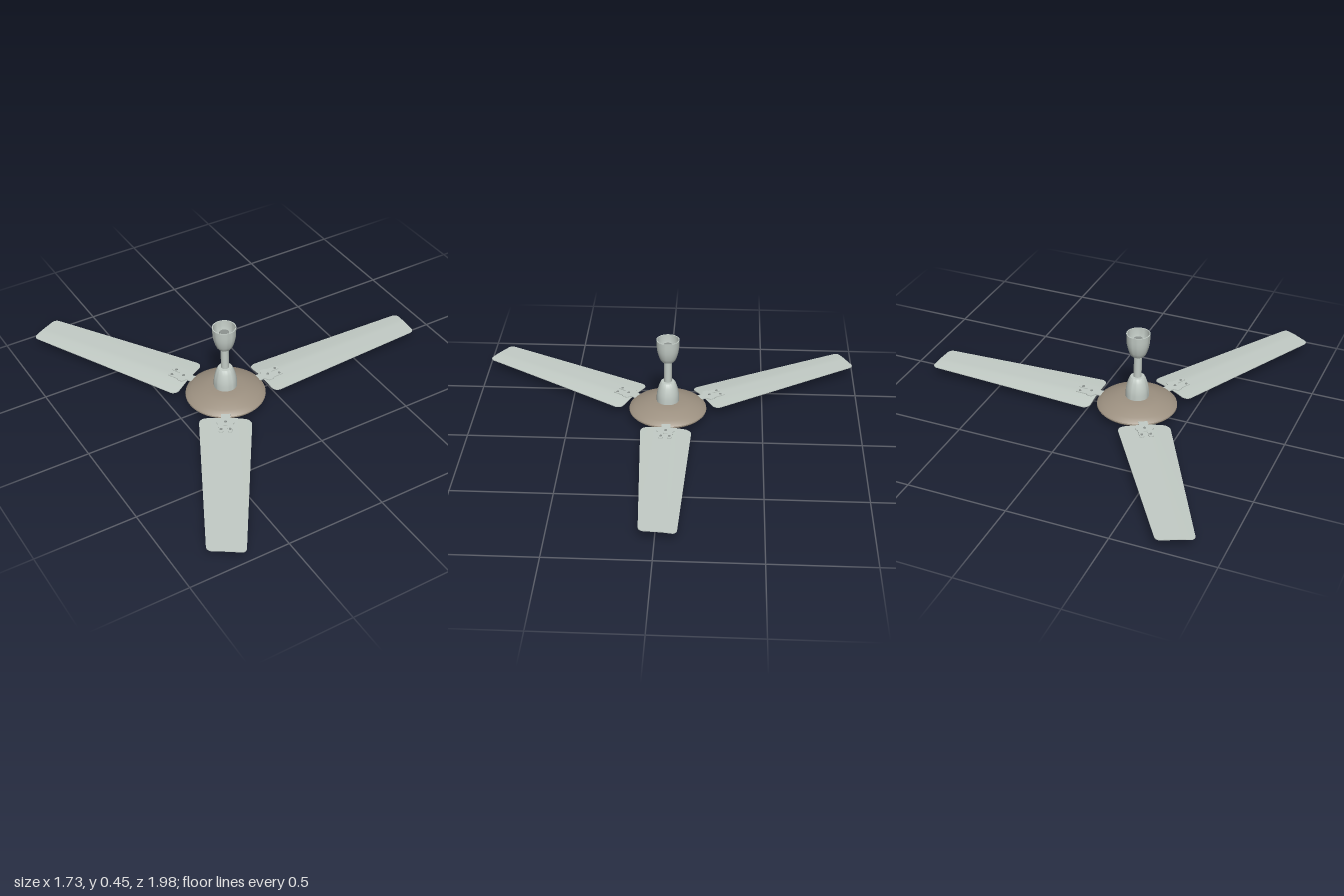
import * as THREE from 'three';
import { toCreasedNormals } from 'three/addons/utils/BufferGeometryUtils.js';

const mat = (color) => new THREE.MeshStandardMaterial({ color, side: THREE.DoubleSide });
const pale = mat(0xc3ccc6), taupe = mat(0x9d9181), dark = mat(0x3a3835), gold = mat(0xc59a3a), steel = mat(0x8d9390);

function add(parent, name, geometry, material, x = 0, y = 0, z = 0) {
  const mesh = new THREE.Mesh(geometry, material);
  mesh.name = name;
  mesh.position.set(x, y, z);
  parent.add(mesh);
  return mesh;
}

// Surface of revolution from [radius, height] pairs, listed bottom to top on the outside
function lathe(points, segments = 48) {
  const g = new THREE.LatheGeometry(points.map(([r, y]) => new THREE.Vector2(r, y)), segments);
  return toCreasedNormals(g, 0.6);
}

// Tapered blade: flat trailing part, leading edge (-z) curving down, rounded corners
const ROOT = 0.21, TIP = 1.108;
function bladeHeight(x, z) {
  const t = (x - ROOT) / (TIP - ROOT);
  const lead = Math.max(0, -z - 0.02) / 0.11;
  const trail = Math.max(0, z - 0.06) / 0.07;
  return 0.058 - (0.015 - 0.006 * t) * Math.pow(lead, 1.2) - 0.003 * trail * (1 - t);
}
function bladeGeometry() {
  const g = new THREE.BoxGeometry(1, 1, 1, 40, 1, 14);
  const p = g.attributes.position;
  for (let i = 0; i < p.count; i++) {
    const u = 0.5 - 0.5 * Math.cos(Math.PI * (p.getX(i) + 0.5));
    const v = p.getZ(i) + 0.5;
    const x = ROOT + (TIP - ROOT) * u;
    const r = u < 0.5 ? 0.035 : 0.024;
    const d = Math.min(r, Math.min(x - ROOT, TIP - x));
    const cut = r - Math.sqrt(Math.max(0, r * r - (r - d) ** 2));
    const z0 = -0.13 + 0.038 * u + cut, z1 = 0.13 - 0.046 * u - cut;
    const z = z0 + (z1 - z0) * v;
    // the tip is cut slightly askew
    p.setXYZ(i, x - 0.06 * u * u * (z + 0.09) * (u > 0.5 ? 1 : 0.5), bladeHeight(x, z) + p.getY(i) * 0.004, z);
  }
  return toCreasedNormals(g, 0.5);
}

// Bracket plate with a neck, a flared shoulder and two prongs
function bracketGeometry() {
  const half = [[0.15, 0.024], [0.215, 0.022], [0.228, 0.045], [0.25, 0.045], [0.262, 0.036],
    [0.315, 0.034], [0.32, 0.028], [0.32, 0.016], [0.315, 0.011], [0.27, 0.01]];
  const outline = [...half, ...half.map(([x, z]) => [x, -z]).reverse()];
  const shape = new THREE.Shape(outline.map(([x, z]) => new THREE.Vector2(x, z)));
  const g = new THREE.ExtrudeGeometry(shape, { depth: 0.005, bevelEnabled: false });
  return g.rotateX(-Math.PI / 2);
}

export function createModel() {
  const fan = new THREE.Group();
  fan.name = 'ceilingFan';
  const body = new THREE.Group();
  body.name = 'fanBody';
  body.position.set(-0.24, 0, -0.01);
  fan.add(body);

  // Motor housing
  add(body, 'motorHousing', lathe([
    [0.165, 0.036], [0.182, 0.037], [0.193, 0.041], [0.2, 0.049], [0.199, 0.055], [0.19, 0.063],
    [0.17, 0.073], [0.145, 0.082], [0.118, 0.091], [0.09, 0.097], [0.055, 0.1], [0, 0.1]], 64), taupe);
  add(body, 'trimRing', lathe([
    [0.15, 0.027], [0.162, 0.026], [0.171, 0.03], [0.174, 0.038]], 64), dark);
  add(body, 'bottomCover', lathe([
    [0, 0.003], [0.035, 0.004], [0.07, 0.0075], [0.11, 0.0145], [0.14, 0.022], [0.155, 0.029]], 64), steel);
  add(body, 'centreBadge', new THREE.CylinderGeometry(0.036, 0.034, 0.006, 32), gold, 0, 0.003, 0);

  // Down rod with its lower cover and upper cup
  add(body, 'downRod', new THREE.CylinderGeometry(0.02, 0.02, 0.31, 24), pale, 0, 0.245, 0);
  add(body, 'lowerCanopy', lathe([
    [0.058, 0.095], [0.058, 0.125], [0.056, 0.145], [0.052, 0.165], [0.046, 0.186],
    [0.039, 0.204], [0.035, 0.21], [0.02, 0.211]], 40), pale);
  add(body, 'upperCanopy', lathe([
    [0.02, 0.329], [0.034, 0.33], [0.039, 0.337], [0.046, 0.354], [0.052, 0.375], [0.056, 0.395],
    [0.058, 0.42], [0.059, 0.45], [0.054, 0.45], [0.053, 0.42], [0.048, 0.39], [0.04, 0.37], [0, 0.37]], 40), pale);
  add(body, 'rodTop', new THREE.CylinderGeometry(0.024, 0.024, 0.05, 24), steel, 0, 0.395, 0);

  // Three blades with brackets and screws
  const blade = bladeGeometry(), bracket = bracketGeometry();
  const screw = new THREE.CylinderGeometry(0.006, 0.007, 0.004, 12);
  for (let i = 0; i < 3; i++) {
    const arm = new THREE.Group();
    arm.name = 'bladeArm' + (i + 1);
    arm.rotation.y = i * Math.PI * 2 / 3;
    body.add(arm);
    add(arm, 'blade', blade, pale);
    add(arm, 'bladeBracket', bracket, pale, 0, 0.0595, 0);
    for (const [x, z] of [[0.245, 0], [0.3, 0.022], [0.3, -0.022]])
      add(arm, 'screw', screw, steel, x, 0.066, z);
  }
  return fan;
}
